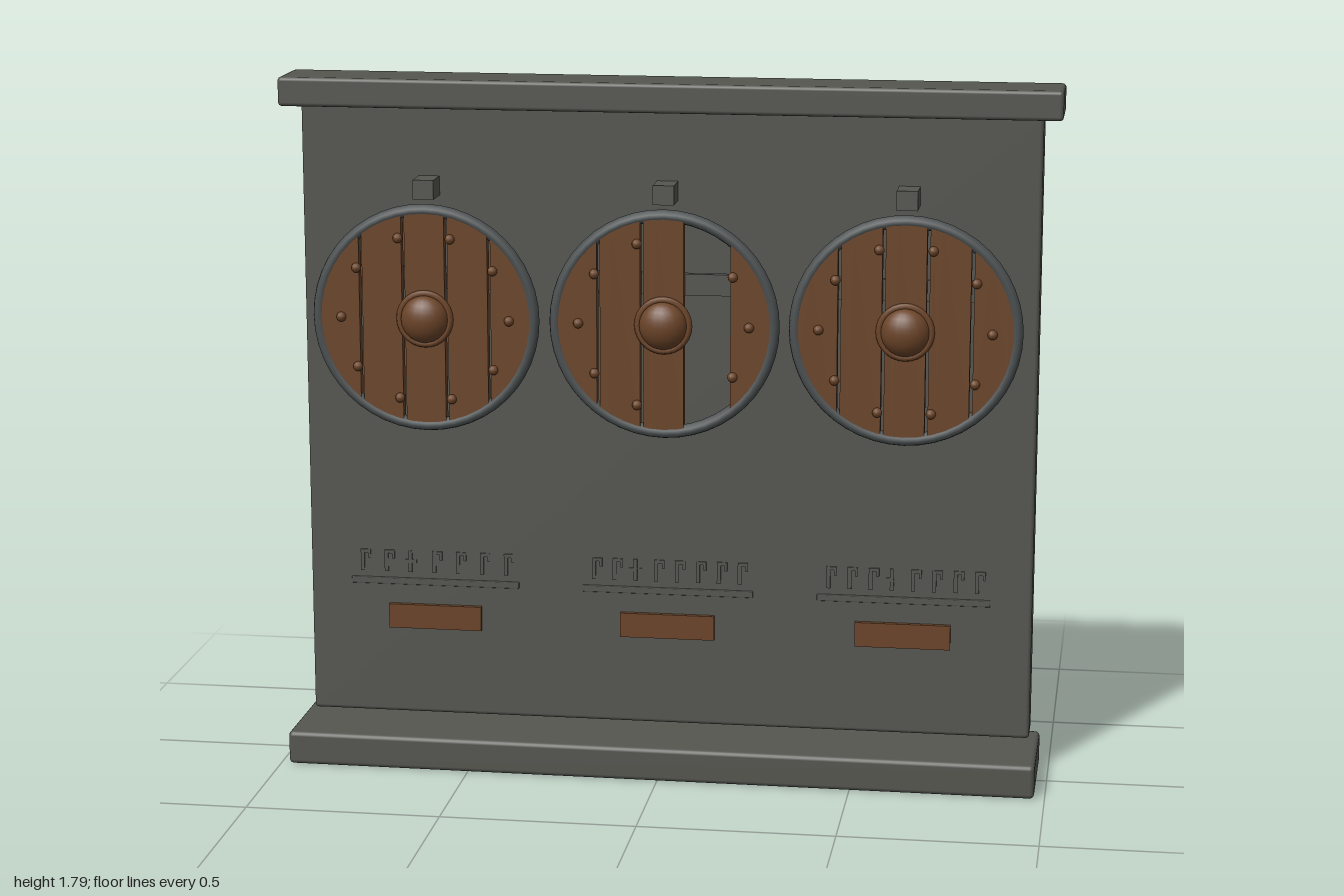
import * as THREE from 'three';
import { RoundedBoxGeometry } from 'three/addons/geometries/RoundedBoxGeometry.js';

const mat = (name, color) => {
  const m = new THREE.MeshStandardMaterial({ color });
  m.name = name;
  return m;
};

export function createModel() {
  const stone = mat('stone', 0x555650);
  const iron = mat('iron', 0x4b5051);
  const wood = mat('wood', 0x6b4428);

  const add = (parent, name, geometry, material, x = 0, y = 0, z = 0) => {
    const mesh = new THREE.Mesh(geometry, material);
    mesh.name = name;
    mesh.position.set(x, y, z);
    parent.add(mesh);
    return mesh;
  };
  // Box given by its limits, with softened edges when r > 0
  const block = (parent, name, material, [x0, x1], [y0, y1], [z0, z1], r = 0) => {
    const size = [x1 - x0, y1 - y0, z1 - z0];
    const geometry = r ? new RoundedBoxGeometry(...size, 2, r) : new THREE.BoxGeometry(...size);
    return add(parent, name, geometry, material, (x0 + x1) / 2, (y0 + y1) / 2, (z0 + z1) / 2);
  };

  const model = new THREE.Group();
  model.name = 'shieldWall';

  // Wall, capping beam and slightly turned base ledge
  block(model, 'wall', stone, [-0.955, 0.95], [0.095, 1.722], [-0.158, -0.05], 0.01);
  block(model, 'capBeam', stone, [-1, 1], [1.72, 1.795], [-0.16, 0.015], 0.01);
  const base = block(model, 'baseLedge', stone, [-0.978, 0.974], [0, 0.088], [-0.155, 0.152], 0.012);
  base.rotation.y = -0.005;

  // Vertical plank cut to the round outline
  const plankGeometry = (x0, x1, radius) => {
    const points = [];
    const n = 10;
    for (let i = 0; i <= n; i++) {
      const x = x0 + ((x1 - x0) * i) / n;
      points.push(new THREE.Vector2(x, Math.sqrt(Math.max(0, radius * radius - x * x))));
    }
    const lower = points.map((p) => new THREE.Vector2(p.x, -p.y)).reverse();
    const outline = [...points, ...lower].filter((p, i, all) => !i || p.distanceTo(all[i - 1]) > 1e-5);
    if (outline[0].distanceTo(outline[outline.length - 1]) < 1e-5) outline.pop();
    return new THREE.ExtrudeGeometry(new THREE.Shape(outline), { depth: 0.026, bevelEnabled: false });
  };

  const edges = [-0.281, -0.168, -0.056, 0.056, 0.168, 0.281];
  const rimGeometry = new THREE.TorusGeometry(0.281, 0.016, 10, 48);
  const bossGeometry = new THREE.SphereGeometry(0.063, 20, 14);
  const collarGeometry = new THREE.TorusGeometry(0.066, 0.009, 8, 28);
  const nailGeometry = new THREE.SphereGeometry(0.013, 10, 8);

  const makeShield = (x, missingPlank) => {
    const shield = new THREE.Group();
    shield.name = 'shield';
    shield.position.set(x, 1.18, 0);
    model.add(shield);
    add(shield, 'rim', rimGeometry, iron, 0, 0, 0.015);
    for (let i = 0; i < 5; i++) {
      if (i === missingPlank) continue;
      const left = edges[i] + (i > 0 ? 0.004 : 0);
      const right = edges[i + 1] - (i < 4 ? 0.004 : 0);
      add(shield, 'plank', plankGeometry(left, right, 0.281), wood, 0, 0, 0.002);
    }
    // Domed boss and its collar
    add(shield, 'boss', bossGeometry, wood, 0, 0, 0.028).scale.z = 0.71;
    add(shield, 'bossCollar', collarGeometry, wood, 0, 0, 0.03);
    // Ring of nails, skipping those of a lost plank
    for (let k = 0; k < 10; k++) {
      const a = (k * Math.PI) / 5;
      const nx = 0.22 * Math.cos(a);
      if (nx > edges[missingPlank] && nx < edges[missingPlank + 1]) continue;
      add(shield, 'nail', nailGeometry, wood, nx, 0.22 * Math.sin(a), 0.031);
    }
    // Cross batten on the back
    block(shield, 'batten', stone, [-0.2, 0.2], [0.075, 0.13], [-0.017, 0.002]);
  };

  // Row of small hooked tally strokes above a thin rail
  const makeTally = (x, count, crossed) => {
    const tally = new THREE.Group();
    tally.name = 'tallyMarks';
    tally.position.set(x, 0, 0);
    model.add(tally);
    block(tally, 'tallyRail', stone, [-0.225, 0.225], [0.447, 0.465], [-0.052, -0.046], 0.002);
    for (let i = 0; i < count; i++) {
      const sx = -0.195 + (i * 0.385) / (count - 1);
      block(tally, 'tallyStroke', stone, [sx - 0.005, sx + 0.005], [0.482, 0.54], [-0.052, -0.046]);
      if (i === crossed) {
        block(tally, 'tallyCross', stone, [sx - 0.017, sx + 0.017], [0.506, 0.516], [-0.052, -0.047]);
      } else {
        block(tally, 'tallyHook', stone, [sx + 0.005, sx + 0.022], [0.531, 0.54], [-0.052, -0.046]);
        block(tally, 'tallyTip', stone, [sx + 0.015, sx + 0.022], [0.517, 0.531], [-0.052, -0.046]);
      }
    }
  };

  // Three bays: peg, shield, marks and wooden plaque
  [-0.62, 0, 0.617].forEach((x, i) => {
    block(model, 'peg', stone, [x - 0.027, x + 0.027], [1.49, 1.54], [-0.06, 0.03]);
    makeShield(x, i === 1 ? 3 : -1);
    makeTally(x, i === 0 ? 7 : 8, 2 + (i === 2 ? 1 : 0));
    block(model, 'plaque', wood, [x - 0.124, x + 0.124], [0.33, 0.395], [-0.06, -0.037]);
  });

  return model;
}
